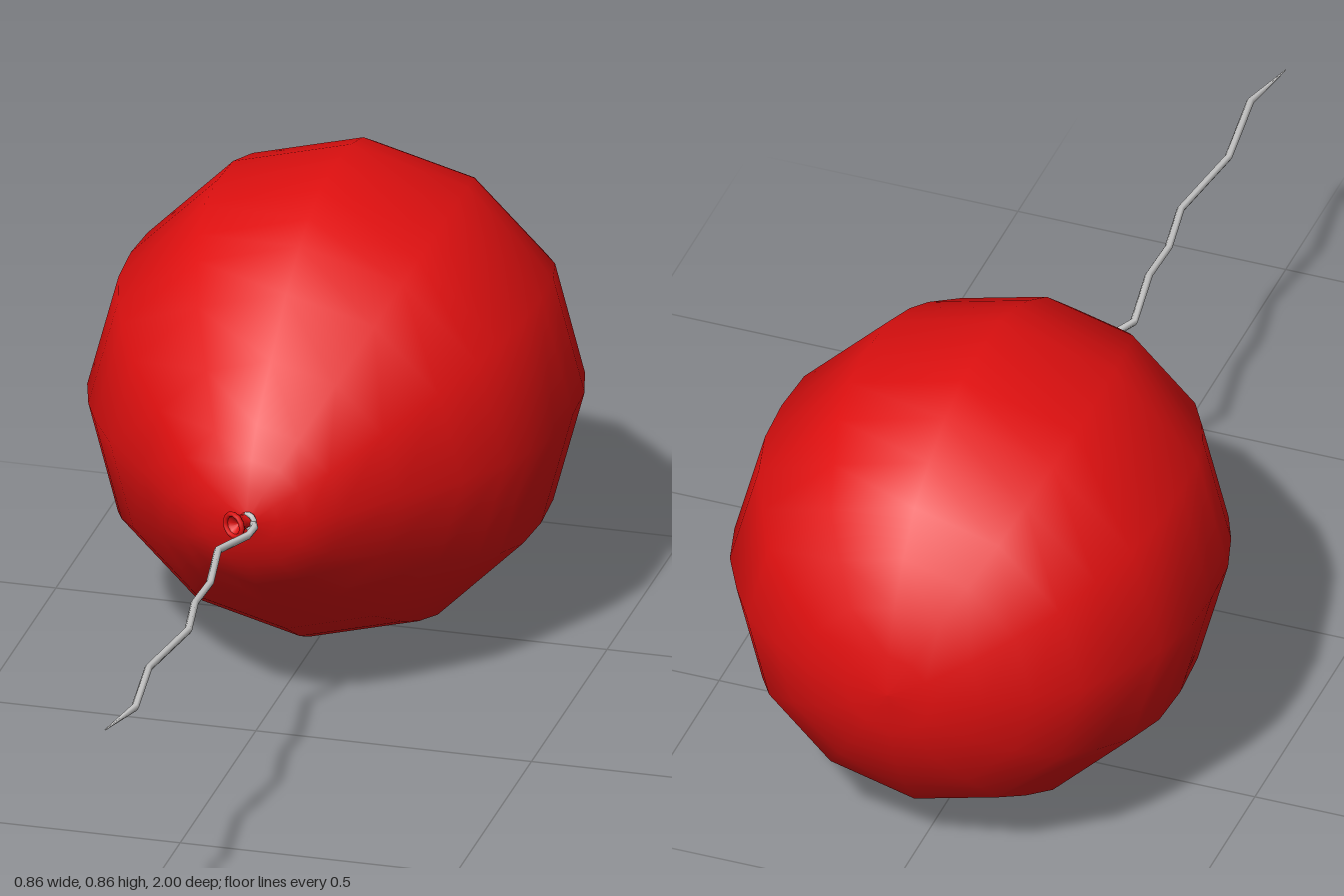
import * as THREE from 'three';

const CY = 0.433; // height of the balloon's axis

const red = new THREE.MeshStandardMaterial({ color: 0xe01010, side: THREE.DoubleSide });
const grey = new THREE.MeshStandardMaterial({ color: 0xcccccc });

// Lathe whose axis runs along +z; points are [z, radius]
function latheZ(points, sides) {
  const geo = new THREE.LatheGeometry(points.map(([z, r]) => new THREE.Vector2(r, z)), sides);
  geo.rotateX(Math.PI / 2);
  return geo;
}

function addMesh(group, name, geo, material) {
  const mesh = new THREE.Mesh(geo, material);
  mesh.name = name;
  group.add(mesh);
  return mesh;
}

// Tapering string swept along straight runs in the horizontal plane
function stringGeometry(path, sides) {
  const pos = [], index = [];
  path.forEach(([x, z, r], i) => {
    const a = path[Math.max(i - 1, 0)], b = path[Math.min(i + 1, path.length - 1)];
    const len = Math.hypot(b[0] - a[0], b[1] - a[1]);
    const sx = (b[1] - a[1]) / len, sz = -(b[0] - a[0]) / len;
    for (let j = 0; j < sides; j++) {
      const t = (j / sides) * Math.PI * 2;
      pos.push(x + sx * r * Math.cos(t), r * Math.sin(t), z + sz * r * Math.cos(t));
      if (i === path.length - 1) continue;
      const p = i * sides + j, q = i * sides + ((j + 1) % sides);
      index.push(p, q, p + sides, q, q + sides, p + sides);
    }
  });
  const geo = new THREE.BufferGeometry();
  geo.setAttribute('position', new THREE.Float32BufferAttribute(pos, 3));
  geo.setIndex(index);
  geo.computeVertexNormals();
  return geo;
}

export function createModel() {
  const model = new THREE.Group();
  model.name = 'balloon';

  // Twelve-sided pear-shaped body, pointing its narrow end forward
  addMesh(model, 'body', latheZ([
    [-1, 0], [-0.995, 0.08], [-0.965, 0.165], [-0.92, 0.24], [-0.865, 0.313], [-0.79, 0.36],
    [-0.71, 0.402], [-0.625, 0.425], [-0.53, 0.43], [-0.43, 0.424], [-0.35, 0.4], [-0.29, 0.373],
    [-0.2, 0.32], [-0.1, 0.235], [-0.005, 0.153], [0.03, 0.1], [0.05, 0.055], [0.06, 0.014],
  ], 12), red).position.y = CY;

  // Tied neck, bent to one side, flaring into an open lip
  const knot = new THREE.Group();
  knot.name = 'knot';
  knot.position.set(0.006, CY, 0.055);
  knot.rotation.y = -0.55;
  addMesh(knot, 'neck', latheZ([
    [0, 0.014], [0.012, 0.012], [0.024, 0.014], [0.036, 0.022], [0.042, 0.024],
    [0.045, 0.02], [0.038, 0.014], [0.028, 0],
  ], 12), red);
  const lip = addMesh(knot, 'lip', new THREE.TorusGeometry(0.021, 0.005, 6, 12), red);
  lip.position.z = 0.041;
  model.add(knot);

  // Loop of string tied round the neck
  const loop = addMesh(model, 'stringLoop', new THREE.TorusGeometry(0.013, 0.005, 6, 12), grey);
  loop.position.set(0.006, CY, 0.066);
  loop.rotation.y = -0.55;

  // Wavy trailing string: [x, z, radius]
  addMesh(model, 'string', stringGeometry([
    [0.012, 0.062, 0.006], [0.022, 0.09, 0.007], [0.02, 0.125, 0.007], [-0.014, 0.2, 0.007],
    [0.01, 0.34, 0.007], [0.007, 0.43, 0.007], [0.027, 0.545, 0.007], [0.003, 0.72, 0.007],
    [0.025, 0.89, 0.007], [0, 1, 0.001],
  ], 6), grey).position.y = CY;

  return model;
}
